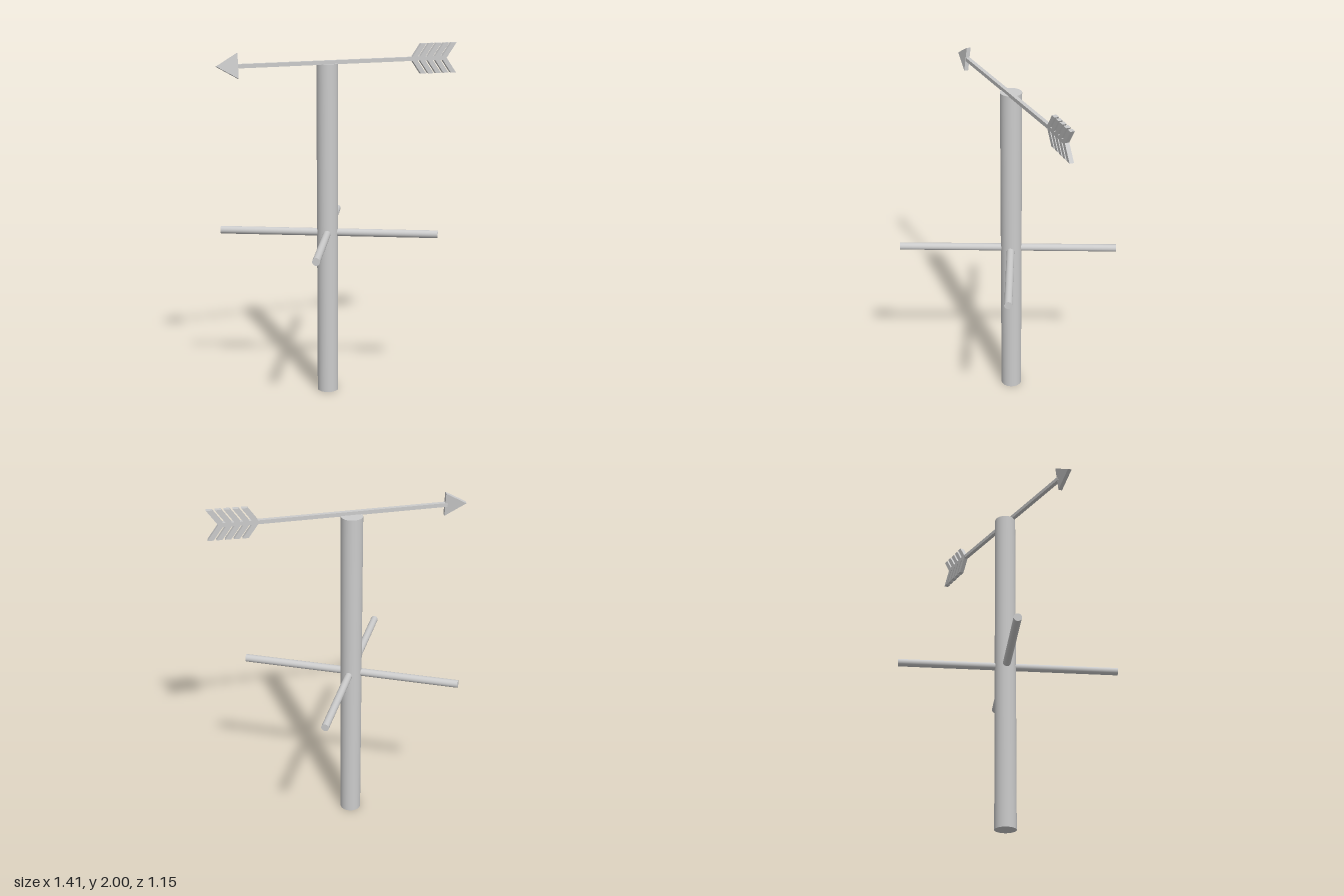
import * as THREE from 'three';

const material = new THREE.MeshStandardMaterial({ color: 0xcccccc });

function add(parent, name, geometry, x = 0, y = 0, z = 0) {
  const mesh = new THREE.Mesh(geometry, material);
  mesh.name = name;
  mesh.position.set(x, y, z);
  parent.add(mesh);
  return mesh;
}

// Flat plate cut from an outline, centred in depth
function plate(points, depth) {
  const shape = new THREE.Shape(points.map(([x, y]) => new THREE.Vector2(x, y)));
  return new THREE.ExtrudeGeometry(shape, { depth, bevelEnabled: false }).translate(0, 0, -depth / 2);
}

// Horizontal round bar between two ends given as [x, z]
function crossBar(parent, name, a, b, radius, y) {
  const start = new THREE.Vector3(a[0], y, a[1]);
  const end = new THREE.Vector3(b[0], y, b[1]);
  const geometry = new THREE.CylinderGeometry(radius, radius, start.distanceTo(end), 24);
  const bar = add(parent, name, geometry);
  bar.position.addVectors(start, end).multiplyScalar(0.5);
  bar.quaternion.setFromUnitVectors(new THREE.Vector3(0, 1, 0), end.sub(start).normalize());
}

// Fletching outline: slanted barbs along a thin spine, mirrored below
function fletchingOutline() {
  const half = 0.085, spine = 0.011, slope = 0.7;
  const barb = 0.032, gap = 0.014, count = 5, front = 0.487;
  const root = (x) => x - slope * (half - spine);
  const upper = [];
  for (let i = 0; i < count; i++) {
    const x = front + i * (barb + gap);
    upper.push([root(x), spine], [x, half], [x + barb, half]);
    if (i < count - 1) upper.push([root(x + barb), spine]);
  }
  const notch = front + count * barb + (count - 1) * gap - slope * half;
  const lower = upper.map(([x, y]) => [x, -y]).reverse();
  return [[0.425, 0], ...upper, [notch, 0], ...lower];
}

export function createModel() {
  const model = new THREE.Group();
  model.name = 'weatherVane';

  // Upright pole
  add(model, 'pole', new THREE.CylinderGeometry(0.06, 0.06, 1.907, 40), -0.067, 0.9535, -0.02);

  // Crossed direction bars
  crossBar(model, 'longCrossBar', [-0.63, -0.265], [0.504, 0.235], 0.022, 0.95);
  crossBar(model, 'otherCrossBar', [0.177, -0.57], [-0.323, 0.566], 0.021, 0.95);

  // Arrow: slightly turned shaft, tilted head and comb-like fletching
  const arrow = new THREE.Group();
  arrow.name = 'arrow';
  arrow.position.y = 1.915;
  model.add(arrow);

  const shaft = add(arrow, 'arrowShaft', new THREE.BoxGeometry(1.04, 0.022, 0.022), -0.08, 0, 0.005);
  shaft.rotation.y = Math.atan2(0.05, 1.04);

  const head = plate([[-0.118, 0], [0, -0.068], [0, 0.068]], 0.024);
  add(arrow, 'arrowHead', head, -0.587, 0.002, 0.032).rotation.x = -0.13;

  add(arrow, 'fletching', plate(fletchingOutline(), 0.024), 0, 0, -0.02);

  return model;
}
